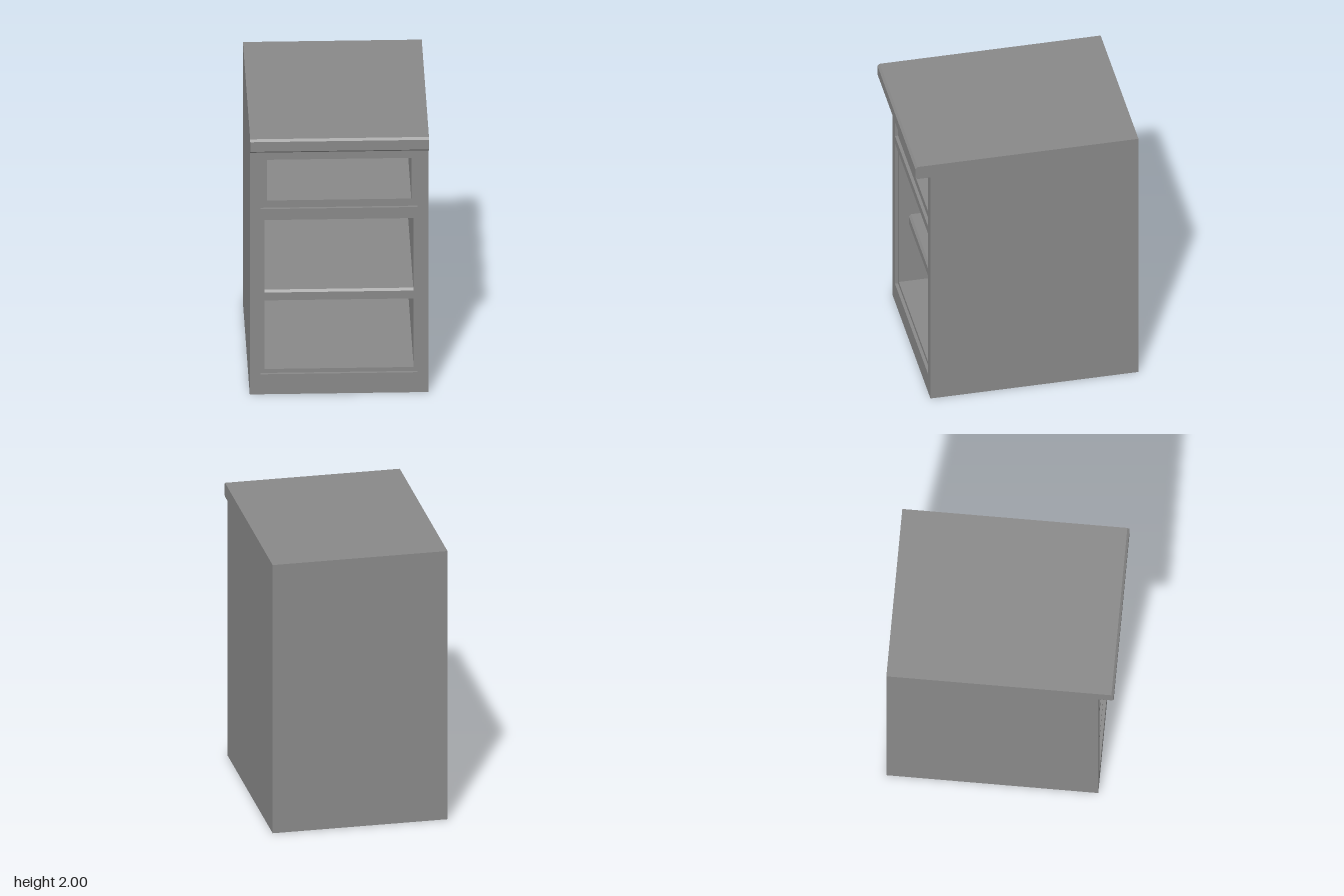
import * as THREE from 'three';

const W = 0.619, BACK = -0.79, FRONT = 0.683, LIP = 0.79, CAVITY_BACK = -0.72;
const REBATE = 0.022, TOP_UNDER = 1.897;

// Openings: outer (rebated) rectangle and inner rectangle, as [halfWidth, y0, y1]
const openings = [
  { name: 'drawerOpening', outer: [0.543, 1.42, 1.84], inner: [0.5, 1.475, 1.787] },
  { name: 'cupboardOpening', outer: [0.543, 0.153, 1.358], inner: [0.517, 0.183, 1.325] },
];

// Side profile as [z, y], running from the front foot round the back to the worktop lip
const profile = [
  [FRONT, 0], [BACK, 0], [BACK, 2], [LIP - 0.016, 2], [LIP, 1.985],
  [LIP, 1.911], [LIP - 0.015, TOP_UNDER], [FRONT, TOP_UNDER],
];

export function createModel() {
  const group = new THREE.Group();
  const material = new THREE.MeshStandardMaterial({ color: 0x888888, flatShading: true });

  const add = (name, geometry) => {
    const mesh = new THREE.Mesh(geometry, material);
    mesh.name = name;
    group.add(mesh);
  };

  const rect = ([w, y0, y1]) => [[-w, y0], [w, y0], [w, y1], [-w, y1]];
  const toShape = (pts) => new THREE.Shape(pts.map(([x, y]) => new THREE.Vector2(x, y)));

  // Joins successive rings of 3D points with flat quads
  const loft = (rings, closed) => {
    const pos = [];
    for (let r = 0; r < rings.length - 1; r++) {
      const a = rings[r], b = rings[r + 1], n = a.length;
      for (let i = 0; i < (closed ? n : n - 1); i++) {
        const j = (i + 1) % n;
        pos.push(...a[i], ...a[j], ...b[j], ...a[i], ...b[j], ...b[i]);
      }
    }
    const g = new THREE.BufferGeometry();
    g.setAttribute('position', new THREE.Float32BufferAttribute(pos, 3));
    g.computeVertexNormals();
    return g;
  };

  // Outer casing: bottom, back, worktop and lip
  add('casingAndWorktop', loft([-W, W].map((x) => profile.map(([z, y]) => [x, y, z])), false));

  // Side panels
  for (const s of [-1, 1]) {
    const side = new THREE.ShapeGeometry(toShape(profile.map(([z, y]) => [-s * z, y])));
    side.rotateY(s * Math.PI / 2).translate(s * W, 0, 0);
    add(s > 0 ? 'leftSide' : 'rightSide', side);
  }

  // Front frame with the two openings cut out
  const face = toShape(rect([W, 0, TOP_UNDER]));
  openings.forEach((o) => face.holes.push(toShape(rect(o.outer))));
  add('frontFrame', new THREE.ShapeGeometry(face).translate(0, 0, FRONT));

  // Rebate, ledge, cavity walls and back of each opening
  for (const { name, outer, inner } of openings) {
    const ring = (r, z) => rect(r).map(([x, y]) => [x, y, z]);
    const ledge = FRONT - REBATE;
    add(name, loft([
      ring(outer, FRONT), ring(outer, ledge), ring(inner, ledge), ring(inner, CAVITY_BACK),
    ], true));
    add(name + 'Back', new THREE.ShapeGeometry(toShape(rect(inner))).translate(0, 0, CAVITY_BACK));
  }

  // Shelf with a chamfered top front edge, set back inside the cupboard
  const w = openings[1].inner[0], nose = 0.59;
  const shelf = new THREE.ExtrudeGeometry(toShape([
    [CAVITY_BACK, 0.675], [nose, 0.675], [nose, 0.735], [nose - 0.015, 0.751], [CAVITY_BACK, 0.751],
  ]), { depth: 2 * w, bevelEnabled: false });
  add('shelf', shelf.rotateY(-Math.PI / 2).translate(w, 0, 0));

  return group;
}
